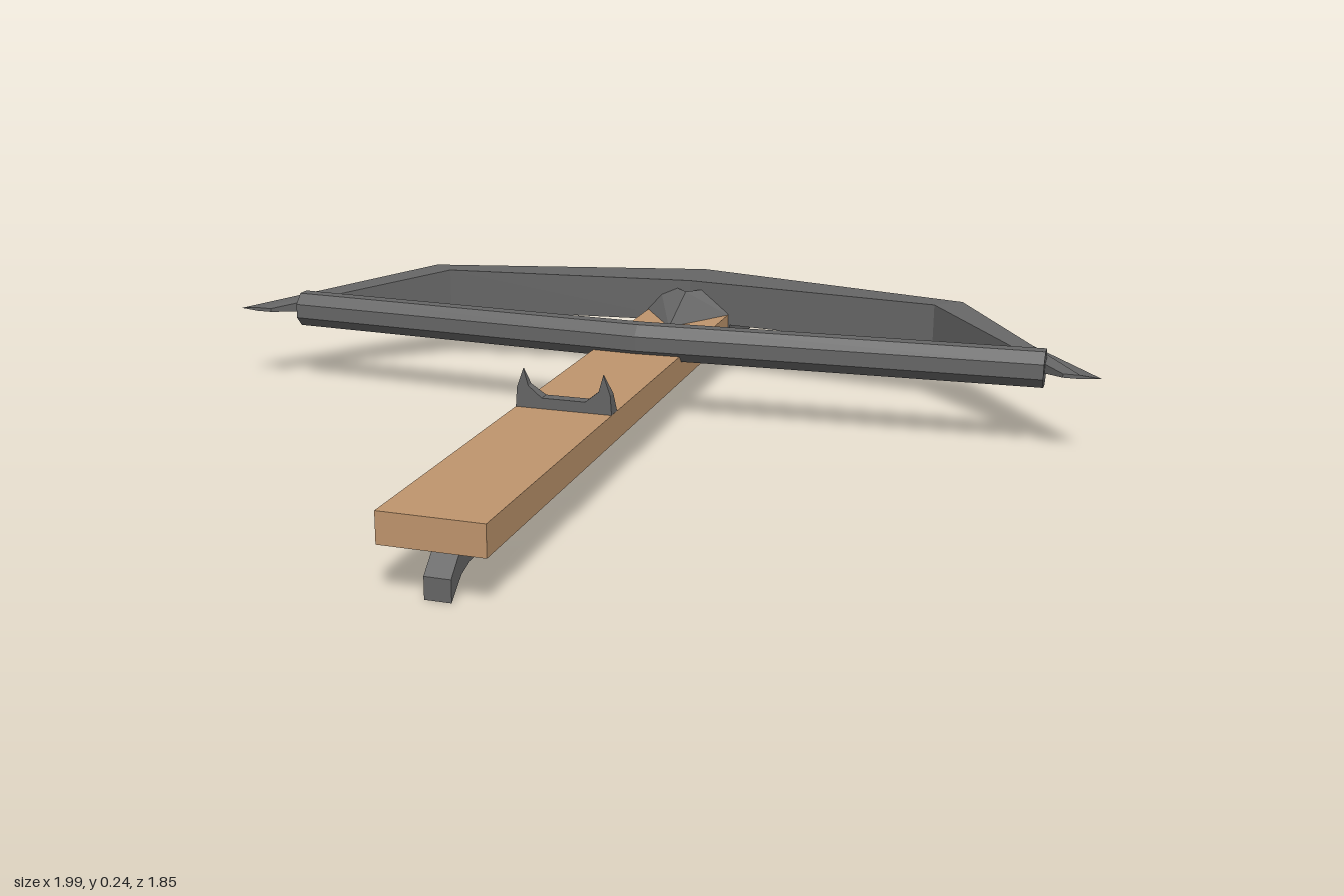
import * as THREE from 'three';

const wood = new THREE.MeshStandardMaterial({ color: 0xbf956d, flatShading: true });
wood.name = 'wood';
const metal = new THREE.MeshStandardMaterial({ color: 0x666666, flatShading: true });
metal.name = 'darkMetal';

// Skins closed sections running from -x to +x, each listed clockwise as seen from +x
function loft(sections) {
  const out = [];
  const tri = (...p) => p.forEach((v) => out.push(...v));
  const n = sections[0].length;
  for (let i = 0; i + 1 < sections.length; i++) {
    for (let j = 0; j < n; j++) {
      const k = (j + 1) % n;
      const [a, b, c, d] = [sections[i][j], sections[i][k], sections[i + 1][k], sections[i + 1][j]];
      tri(a, d, b);
      tri(b, d, c);
    }
  }
  const first = sections[0], last = sections[sections.length - 1];
  for (let j = 1; j + 1 < n; j++) {
    tri(first[0], first[j], first[j + 1]);
    tri(last[0], last[j + 1], last[j]);
  }
  const g = new THREE.BufferGeometry();
  g.setAttribute('position', new THREE.Float32BufferAttribute(out, 3));
  g.computeVertexNormals();
  return g;
}

// Mirrors a half listed from the centre outwards into a full set of sections
function mirrored(half) {
  const left = half.slice(1).reverse().map((s) => s.map(([x, y, z]) => [-x, y, z]));
  return [...left, ...half];
}

function extrude(points, depth) {
  const shape = new THREE.Shape(points.map(([x, y]) => new THREE.Vector2(x, y)));
  return new THREE.ExtrudeGeometry(shape, { depth, bevelEnabled: false });
}

export function createModel() {
  const model = new THREE.Group();
  model.name = 'crossbow';
  const add = (name, geometry, material = metal) => {
    const mesh = new THREE.Mesh(geometry, material);
    mesh.name = name;
    model.add(mesh);
    return mesh;
  };

  // Long wooden stock
  add('stock', new THREE.BoxGeometry(0.2, 0.06, 1.535), wood).position.set(0, 0.13, 0.157);

  // Bow: flat top and bottom, wedge-shaped outer edge, tapering to thin tips
  const bowSection = (inner, ridge, outer, h) => [
    [inner[0], 0.185 + h, inner[1]],
    [ridge[0], 0.185 + h, ridge[1]],
    [outer[0], 0.185, outer[1]],
    [ridge[0], 0.185 - h, ridge[1]],
    [inner[0], 0.185 - h, inner[1]],
  ];
  add('bow', loft(mirrored([
    bowSection([0, -0.61], [0, -0.75], [0, -0.793], 0.05),
    bowSection([0.6, -0.538], [0.657, -0.588], [0.705, -0.615], 0.05),
    bowSection([0.915, -0.197], [0.95, -0.197], [0.993, -0.197], 0.004),
  ])));

  // Thick eight-sided bowstring, bent slightly at the middle
  const ring = (x, z) => Array.from({ length: 8 }, (_, i) => {
    const a = ((i + 0.5) * Math.PI) / 4;
    return [x, 0.184 + 0.042 * Math.sin(a), z + 0.04 * Math.cos(a)];
  });
  add('bowstring', loft([ring(-0.855, -0.25), ring(0, -0.206), ring(0.875, -0.25)]));

  // Pointed brackets clasping the stock above and below
  const topWedge = (x, front, back) => [[x, 0.16, front], [x, 0.215, back], [x, 0.16, back]];
  add('upperBracket', loft(mirrored([topWedge(0, -0.435, -0.575), topWedge(0.1, -0.595, -0.68)])));
  const strap = (x, front, back) => [
    [x, 0.104, front], [x, 0.104, back], [x, 0.094, back], [x, 0.094, front],
  ];
  add('lowerBracket', loft(mirrored([strap(0, -0.45, -0.59), strap(0.115, -0.6, -0.7)])));

  // Foot stirrup: two splayed side plates and a cross plate
  add('stirrupBar', new THREE.BoxGeometry(0.29, 0.09, 0.01)).position.set(0, 0.14, -0.92);
  for (const s of [-1, 1]) {
    const side = add('stirrupSide', new THREE.BoxGeometry(0.012, 0.086, 0.322));
    side.position.set(s * 0.118, 0.14, -0.76);
    side.rotation.y = -s * 0.125;
  }

  // Rear sight: notched plate that narrows to a spike on each side
  const sight = extrude([
    [-0.1, 0.155], [0.1, 0.155], [0.097, 0.2], [0.083, 0.24], [0.073, 0.205],
    [0.045, 0.182], [-0.045, 0.182], [-0.073, 0.205], [-0.083, 0.24], [-0.097, 0.2],
  ], 1);
  const p = sight.attributes.position;
  for (let i = 0; i < p.count; i++) {
    const thickness = 0.037 - 0.4 * (p.getY(i) - 0.155);
    p.setZ(i, 0.287 - (1 - p.getZ(i)) * thickness);
  }
  sight.computeVertexNormals();
  add('rearSight', sight);

  // Trigger lever below the stock
  const trigger = extrude([
    [0.903, 0.003], [0.903, 0.045], [0.865, 0.08], [0.825, 0.089], [0.345, 0.089],
    [0.325, 0.102], [0.285, 0.102], [0.285, 0.082], [0.335, 0.048], [0.825, 0.048], [0.86, 0.038],
  ], 0.05);
  trigger.rotateY(-Math.PI / 2);
  add('triggerLever', trigger).position.x = 0.025;

  return model;
}
